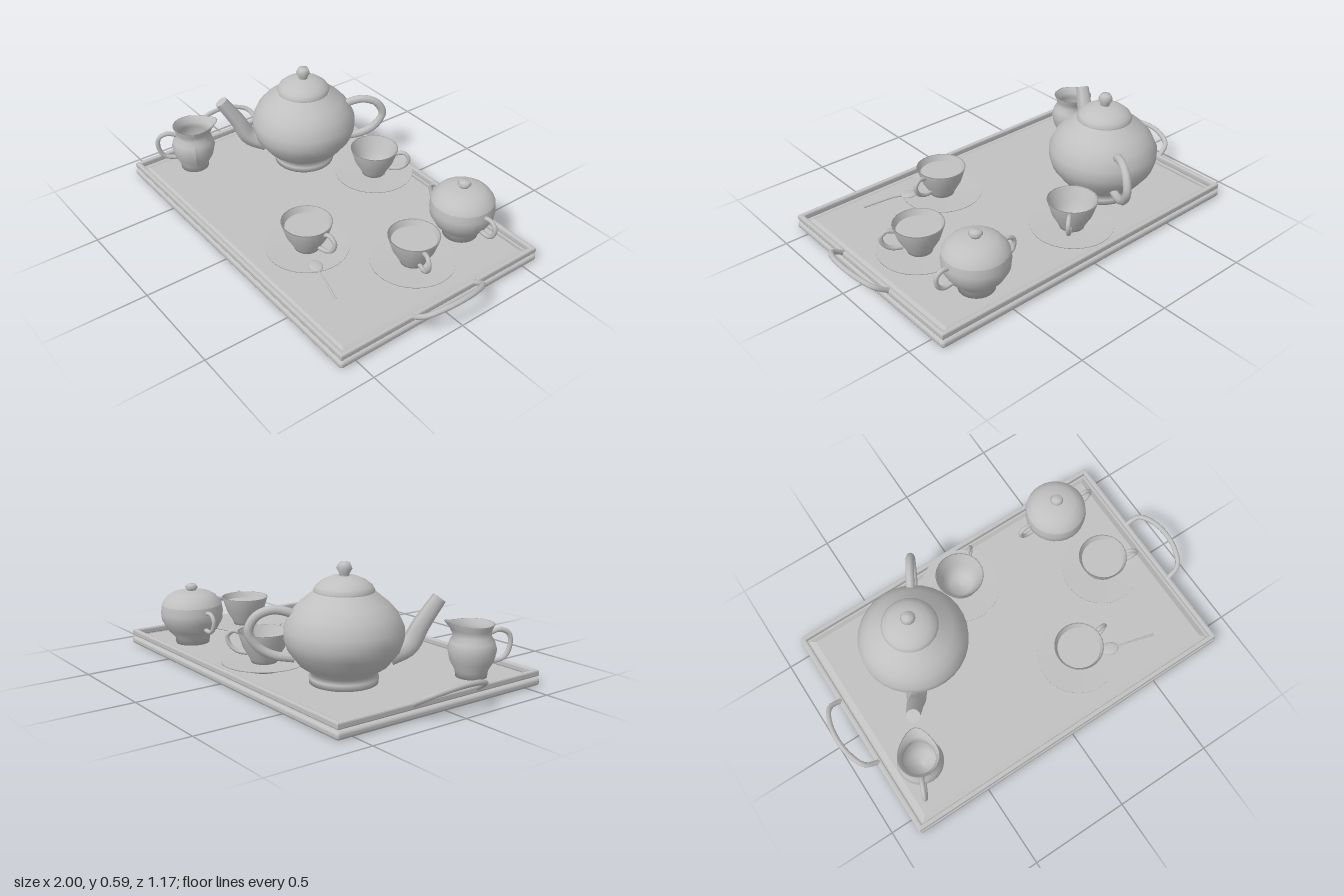
import * as THREE from 'three';
import { RoundedBoxGeometry } from 'three/addons/geometries/RoundedBoxGeometry.js';

const china = new THREE.MeshStandardMaterial({ color: 0xc0c0c0 });
china.name = 'greyChina';

const FLOOR = 0.05; // top of the tray floor

function part(name, geometry, parent) {
  const mesh = new THREE.Mesh(geometry, china);
  mesh.name = name;
  parent.add(mesh);
  return mesh;
}

// group at (x, z) whose local +x points along (dx, dz)
function place(name, x, z, dx, dz, parent) {
  const group = new THREE.Group();
  group.name = name;
  group.position.set(x, 0, z);
  group.rotation.y = Math.atan2(-dz, dx);
  parent.add(group);
  return group;
}

function turned(profile, segments = 28) {
  return new THREE.LatheGeometry(profile.map(([r, y]) => new THREE.Vector2(r, y)), segments);
}

// tube through points; the radius runs from r0 to r1
function rod(points, r0, r1 = r0, sides = 8, steps = 16) {
  const path = new THREE.CatmullRomCurve3(points.map(([x, y, z = 0]) => new THREE.Vector3(x, y, z)));
  const geometry = new THREE.TubeGeometry(path, steps, 1, sides);
  const pos = geometry.attributes.position;
  const v = new THREE.Vector3();
  for (let i = 0; i < pos.count; i++) {
    const t = Math.floor(i / (sides + 1)) / steps;
    const c = path.getPointAt(t);
    v.fromBufferAttribute(pos, i).sub(c).multiplyScalar(r0 + (r1 - r0) * t).add(c);
    pos.setXYZ(i, v.x, v.y, v.z);
  }
  return geometry;
}

function rectangle(path, w, d) {
  path.moveTo(-w, -d);
  path.lineTo(w, -d);
  path.lineTo(w, d);
  path.lineTo(-w, d);
  path.closePath();
  return path;
}

function buildTray(model) {
  const tray = place('tray', 0, 0, 1, 0, model);
  part('trayBase', new RoundedBoxGeometry(1.78, 0.037, 1.17, 3, 0.015), tray).position.y = 0.0185;

  // floor panel with sloping edges
  const floor = new THREE.BoxGeometry(1.74, 0.02, 1.13).toNonIndexed();
  const pos = floor.attributes.position;
  for (let i = 0; i < pos.count; i++) {
    if (pos.getY(i) > 0) pos.setXYZ(i, Math.sign(pos.getX(i)) * 0.825, pos.getY(i), Math.sign(pos.getZ(i)) * 0.525);
  }
  floor.computeVertexNormals();
  part('trayFloor', floor, tray).position.y = FLOOR - 0.01;

  // raised rim
  const outline = rectangle(new THREE.Shape(), 0.878, 0.572);
  outline.holes.push(rectangle(new THREE.Path(), 0.868, 0.562));
  const rim = new THREE.ExtrudeGeometry(outline, {
    depth: 0.017, bevelThickness: 0.007, bevelSize: 0.007, bevelSegments: 2,
  });
  rim.rotateX(-Math.PI / 2);
  part('trayRim', rim, tray).position.y = 0.05;

  for (const side of [1, -1]) {
    const arc = [[0.87, 0.06, 0.185], [0.94, 0.105, 0.17], [0.975, 0.13, 0.1], [0.988, 0.14, 0],
      [0.975, 0.13, -0.1], [0.94, 0.105, -0.17], [0.87, 0.06, -0.185]];
    part('trayHandle', rod(arc.map(([x, y, z]) => [side * x, y, z]), 0.013, 0.013, 8, 24), tray);
  }
}

function buildTeapot(model) {
  const pot = place('teapot', -0.425, -0.19, -0.5, 0.865, model);
  part('teapotBody', turned([[0, FLOOR], [0.155, FLOOR], [0.157, 0.078], [0.14, 0.095], [0.2, 0.135], [0.25, 0.2],
    [0.267, 0.25], [0.268, 0.305], [0.24, 0.365], [0.2, 0.41], [0.135, 0.462]], 32), pot);
  part('teapotLid', turned([[0.132, 0.455], [0.136, 0.468], [0.125, 0.488], [0.1, 0.508], [0.06, 0.526], [0, 0.533]]), pot);
  part('teapotKnob', turned([[0.024, 0.525], [0.022, 0.538], [0.036, 0.562], [0.026, 0.587], [0, 0.59]], 10), pot);

  part('teapotSpout', rod([[0.2, 0.165], [0.29, 0.205], [0.345, 0.3], [0.425, 0.42]], 0.052, 0.034, 6), pot);
  const tip = part('spoutTip', new THREE.CircleGeometry(0.034, 12), pot);
  tip.position.set(0.425, 0.42, 0);
  tip.lookAt(pot.localToWorld(new THREE.Vector3(0.425 + 0.55, 0.42 + 0.83, 0)));

  part('teapotHandle', rod([[-0.2, 0.35], [-0.25, 0.375], [-0.32, 0.385], [-0.39, 0.355], [-0.42, 0.29],
    [-0.38, 0.22], [-0.31, 0.18], [-0.22, 0.165]], 0.021, 0.021, 8, 24), pot);
}

function buildCup(model, x, z, dx, dz, filled) {
  const set = place('cupAndSaucer', x, z, dx, dz, model);
  part('saucer', turned([[0, FLOOR], [0.09, FLOOR], [0.1, 0.066], [0.2, 0.088], [0.2, 0.092], [0.1, 0.084], [0, 0.082]], 36), set);
  part('cup', turned([[0, 0.082], [0.06, 0.082], [0.066, 0.1], [0.098, 0.155], [0.122, 0.23], [0.115, 0.23],
    [0.09, 0.155], [0.055, 0.104], [0, 0.096]]), set);
  if (filled) {
    const tea = part('tea', new THREE.CircleGeometry(0.106, 28), set);
    tea.rotation.x = -Math.PI / 2;
    tea.position.y = 0.2;
  }
  part('cupHandle', rod([[0.112, 0.212], [0.15, 0.221], [0.178, 0.195], [0.168, 0.155], [0.13, 0.125], [0.08, 0.118]], 0.011), set);
}

function buildSugarBowl(model) {
  const bowl = place('sugarBowl', 0.56, -0.4, 1, 0, model);
  part('sugarBowlBody', turned([[0, FLOOR], [0.085, FLOOR], [0.087, 0.08], [0.125, 0.12], [0.153, 0.17], [0.157, 0.21], [0.15, 0.252]]), bowl);
  part('sugarBowlLid', turned([[0.152, 0.25], [0.145, 0.264], [0.125, 0.289], [0.095, 0.307], [0.05, 0.318], [0, 0.321]]), bowl);
  part('sugarBowlKnob', turned([[0.022, 0.314], [0.024, 0.323], [0.033, 0.335], [0.024, 0.35], [0, 0.352]], 10), bowl);
  for (const side of [1, -1]) {
    part('sugarBowlHandle', rod([[0.14, 0.222], [0.185, 0.228], [0.215, 0.205], [0.21, 0.16], [0.18, 0.135], [0.13, 0.138]]
      .map(([x, y]) => [side * x, y]), 0.011), bowl);
  }
}

function buildCreamer(model) {
  const jug = place('creamer', -0.71, 0.32, 0.42, -0.91, model);
  const body = turned([[0, FLOOR], [0.072, FLOOR], [0.075, 0.08], [0.1, 0.125], [0.112, 0.18], [0.102, 0.215], [0.085, 0.242],
    [0.087, 0.268], [0.1, 0.296], [0.094, 0.296], [0.08, 0.265], [0.077, 0.242], [0.1, 0.18], [0.07, 0.1], [0, 0.085]]);
  // pull the rim forward into a pouring lip
  const pos = body.attributes.position;
  for (let i = 0; i < pos.count; i++) {
    const x = pos.getX(i), y = pos.getY(i), z = pos.getZ(i);
    const lift = Math.max(0, (y - 0.235) / 0.06);
    const front = Math.max(0, x / (Math.hypot(x, z) || 1)) ** 4;
    pos.setX(i, x + 0.034 * lift * front);
    pos.setY(i, y + 0.018 * lift * front);
  }
  body.computeVertexNormals();
  part('creamerBody', body, jug);
  part('creamerHandle', rod([[-0.085, 0.248], [-0.13, 0.262], [-0.175, 0.24], [-0.182, 0.185], [-0.155, 0.13], [-0.09, 0.112]], 0.012), jug);
}

function buildSpoon(model) {
  const spoon = place('spoon', 0.39, 0.342, 0.97, 0.25, model);
  const bowl = part('spoonBowl', new THREE.SphereGeometry(1, 16, 8), spoon);
  bowl.scale.set(0.043, 0.008, 0.033);
  bowl.position.y = 0.1;
  part('spoonHandle', rod([[0.035, 0.1], [0.08, 0.106], [0.16, 0.1], [0.236, 0.092]], 0.004, 0.006, 6), spoon);
}

export function createModel() {
  const model = new THREE.Group();
  model.name = 'teaTray';
  buildTray(model);
  buildTeapot(model);
  buildCup(model, -0.05, -0.365, 0.77, -0.64, false);
  buildCup(model, 0.61, -0.05, 0.94, 0.33, true);
  buildCup(model, 0.235, 0.275, 0.99, -0.15, true);
  buildSugarBowl(model);
  buildCreamer(model);
  buildSpoon(model);
  return model;
}
